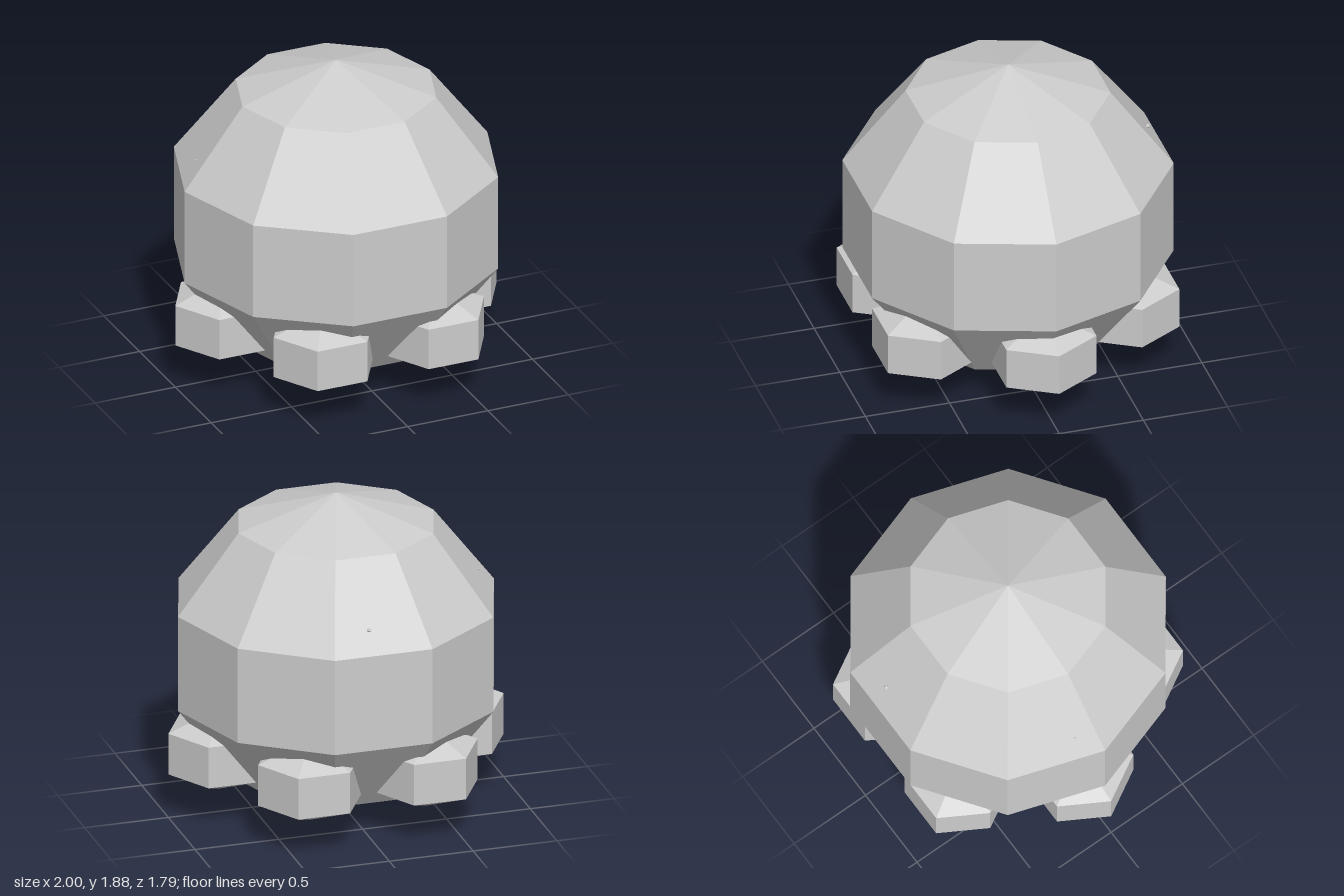
import * as THREE from 'three';

export function createModel() {
  const group = new THREE.Group();
  const grey = new THREE.MeshStandardMaterial({ color: 0xcccccc, flatShading: true });
  grey.name = 'light grey';

  // Faceted ellipsoid; wide is the x/z radius, tall the y radius
  function blob(name, wide, tall, sides, rings, x, y, z) {
    const geometry = new THREE.SphereGeometry(1, sides, rings);
    geometry.scale(wide, tall, wide);
    const mesh = new THREE.Mesh(geometry, grey);
    mesh.name = name;
    mesh.position.set(x, y, z);
    group.add(mesh);
  }

  // Ten-sided body
  blob('body', 0.991, 0.9375, 10, 5, 0, 0.9375, 0);

  // Six six-sided feet in a ring, all turned the same way
  for (let i = 0; i < 6; i++) {
    const a = (i * Math.PI) / 3;
    blob('foot' + (i + 1), 0.357, 0.25, 6, 3, 0.691 * Math.cos(a), 0.39, 0.691 * Math.sin(a));
  }

  // Two tiny specks sitting on the upper facets
  blob('backSpeck', 0.014, 0.012, 6, 4, 0.06, 1.355, -0.812);
  blob('sideSpeck', 0.006, 0.006, 6, 4, -0.815, 1.35, -0.12);

  return group;
}
